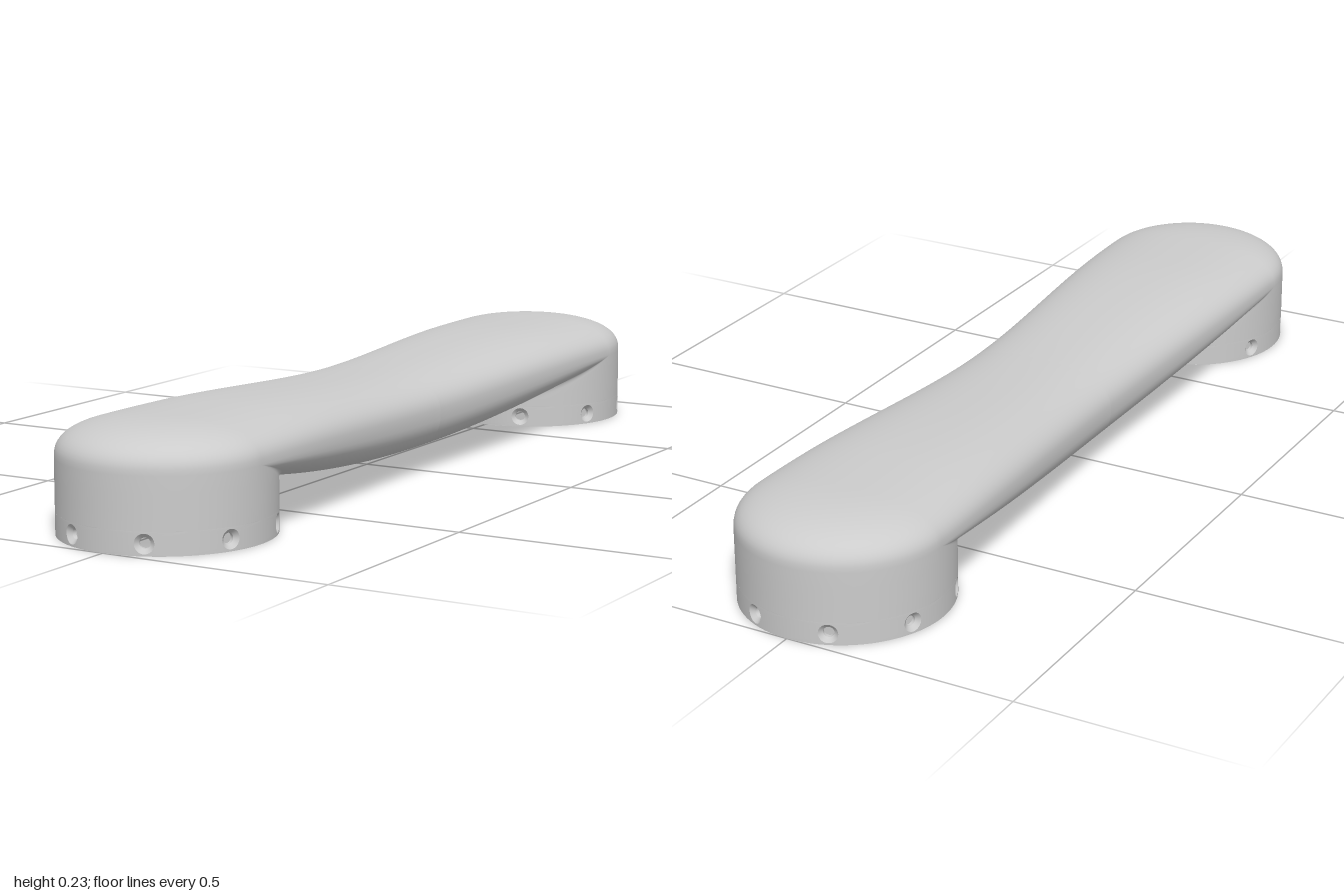
import * as THREE from 'three';
import { mergeGeometries, mergeVertices } from 'three/addons/utils/BufferGeometryUtils.js';

const R = 0.22, RI = 0.203, CZ = 0.78;      // cup radii and cup centre
const BAND = 0.048, SHOULDER = 0.155, TOP = 0.235;
const N = 40, STEPS = 30;
const mat = new THREE.MeshStandardMaterial({ color: 0xcccccc, side: THREE.DoubleSide });

const { lerp, smoothstep } = THREE.MathUtils;
// Rounded-square arc used by every section of the shell
const arc = (c) => Math.pow(Math.max(0, 1 - Math.pow(Math.min(1, Math.abs(c)), 2.5)), 0.4);
// Bar dimensions along z
const width = (z) => lerp(0.185, R, smoothstep(z, 0, CZ));
const side = (z) => lerp(0.13, SHOULDER, smoothstep(z, 0, CZ));
const top = (z) => lerp(0.215, TOP, smoothstep(z, 0, 0.62));
const bottom = (z) => 0.035 + 0.045 * (z / 0.56) ** 2;
const under = (c, z) => new THREE.Vector3(width(z) * c, side(z) - (side(z) - bottom(z)) * arc(c), z);

// Surface from a rule f(u index, v index) -> Vector3
function grid(nu, nv, f) {
  const pos = [], idx = [];
  for (let j = 0; j <= nv; j++) for (let i = 0; i <= nu; i++) pos.push(...f(i, j).toArray());
  for (let j = 0; j < nv; j++) for (let i = 0; i < nu; i++) {
    const a = j * (nu + 1) + i, b = a + 1, c = a + nu + 1, d = c + 1;
    idx.push(a, b, d, a, d, c);
  }
  const g = new THREE.BufferGeometry();
  g.setAttribute('position', new THREE.Float32BufferAttribute(pos, 3));
  g.setIndex(idx);
  return g;
}

function smooth(parts) {
  const g = mergeVertices(mergeGeometries(parts), 1e-5);
  g.computeVertexNormals();
  return g;
}

// Half of the outer shell, from the middle of the bar to one end
function shellGeometry() {
  const upper = grid(N, STEPS, (i, j) => {
    const c = Math.cos(Math.PI * i / N), z = CZ * j / STEPS;
    return new THREE.Vector3(width(z) * c, side(z) + (top(z) - side(z)) * arc(c), z);
  });
  const outward = (i, r, y) => {
    const p = Math.PI * (1 - i / N);
    return new THREE.Vector3(r * Math.cos(p), y, CZ + r * Math.sin(p));
  };
  const dome = grid(N, N / 2, (i, j) => {
    const c = Math.cos(Math.PI * j / N);
    return outward(i, R * c, SHOULDER + (TOP - SHOULDER) * arc(c));
  });
  const wall = grid(N, 3, (i, j) => outward(i, R, lerp(BAND, SHOULDER, j / 3)));
  // Inner-facing cup wall, fillet and underside of the bar in one sheet
  const F = 8;
  const lower = grid(N, 3 + F + STEPS, (i, j) => {
    const t = Math.PI * i / N, c = Math.cos(t), s = Math.sin(t);
    const zp = CZ - R * s, r = 0.03 * s;
    const corner = under(c, zp), end = under(c, zp - r);
    const start = new THREE.Vector3(R * c, corner.y - r, zp);
    if (j <= 3) return start.setY(lerp(BAND, start.y, j / 3));
    if (j <= 3 + F) return new THREE.QuadraticBezierCurve3(start, corner, end).getPoint((j - 3) / F);
    return under(c, (zp - r) * (1 - (j - 3 - F) / STEPS));
  });
  return smooth([upper, dome, wall, lower]);
}

// Rim band split into eight panels, each with a round screw hole
const A = 48, H = BAND / 2, HOLE = 0.011, SINK = 0.02;
const clamp1 = (x) => Math.max(-1, Math.min(1, x * Math.SQRT2));
const bend = (phi0, arcX, y, r, scaleR = r) => {
  const p = phi0 + arcX / scaleR;
  return new THREE.Vector3(r * Math.sin(p), y, CZ + r * Math.cos(p));
};
const eachHole = (make) =>
  smooth(Array.from({ length: 8 }, (_, k) => make((k + 0.5) * Math.PI / 4)));

function bandGeometry(r, holeR, dir) {
  const half = r * Math.PI / 8;
  return eachHole((phi) => grid(A, 8, (i, j) => {
    const a = dir * i / A * Math.PI * 2, t = (j / 8) ** 1.3;
    const x = lerp(holeR * Math.cos(a), half * clamp1(Math.cos(a)), t);
    const y = lerp(holeR * Math.sin(a), H * clamp1(Math.sin(a)), t);
    return bend(phi, x, H + y, r);
  }));
}

function holeGeometry(r0, rad0, r1, rad1) {
  return eachHole((phi) => grid(A, 1, (i, j) => {
    const a = i / A * Math.PI * 2, q = j ? rad1 : rad0;
    return bend(phi, q * Math.cos(a), H + q * Math.sin(a), j ? r1 : r0);
  }));
}

function add(group, name, geometry) {
  const m = new THREE.Mesh(geometry, mat);
  m.name = name;
  group.add(m);
  return m;
}

function createHalf() {
  const g = new THREE.Group();
  add(g, 'shell', shellGeometry());

  // Cup rim with countersunk screw holes
  const mid = 0.211;
  add(g, 'rimOuterBand', bandGeometry(R, SINK, -1));
  add(g, 'rimInnerBand', bandGeometry(RI, HOLE, 1));
  add(g, 'screwCountersinks', holeGeometry(R, SINK, mid, HOLE));
  add(g, 'screwHoles', holeGeometry(mid, HOLE, RI, HOLE));
  const rim = add(g, 'rimEdge', new THREE.RingGeometry(RI, R, 96));
  rim.rotation.x = Math.PI / 2;
  rim.position.z = CZ;

  // Cup lining
  const profile = [];
  for (let i = 0; i <= 20; i++) {
    const c = Math.sin(Math.PI / 2 * i / 20);
    profile.push(new THREE.Vector2(RI * c, 0.145 + 0.072 * arc(c)));
  }
  profile.push(new THREE.Vector2(RI, BAND));
  add(g, 'cupLining', new THREE.LatheGeometry(profile, 80)).position.z = CZ;
  return g;
}

export function createModel() {
  const model = new THREE.Group();
  model.name = 'armLink';
  ['frontHalf', 'backHalf'].forEach((name, k) => {
    const half = createHalf();
    half.name = name;
    half.rotation.y = k * Math.PI;
    model.add(half);
  });
  return model;
}
